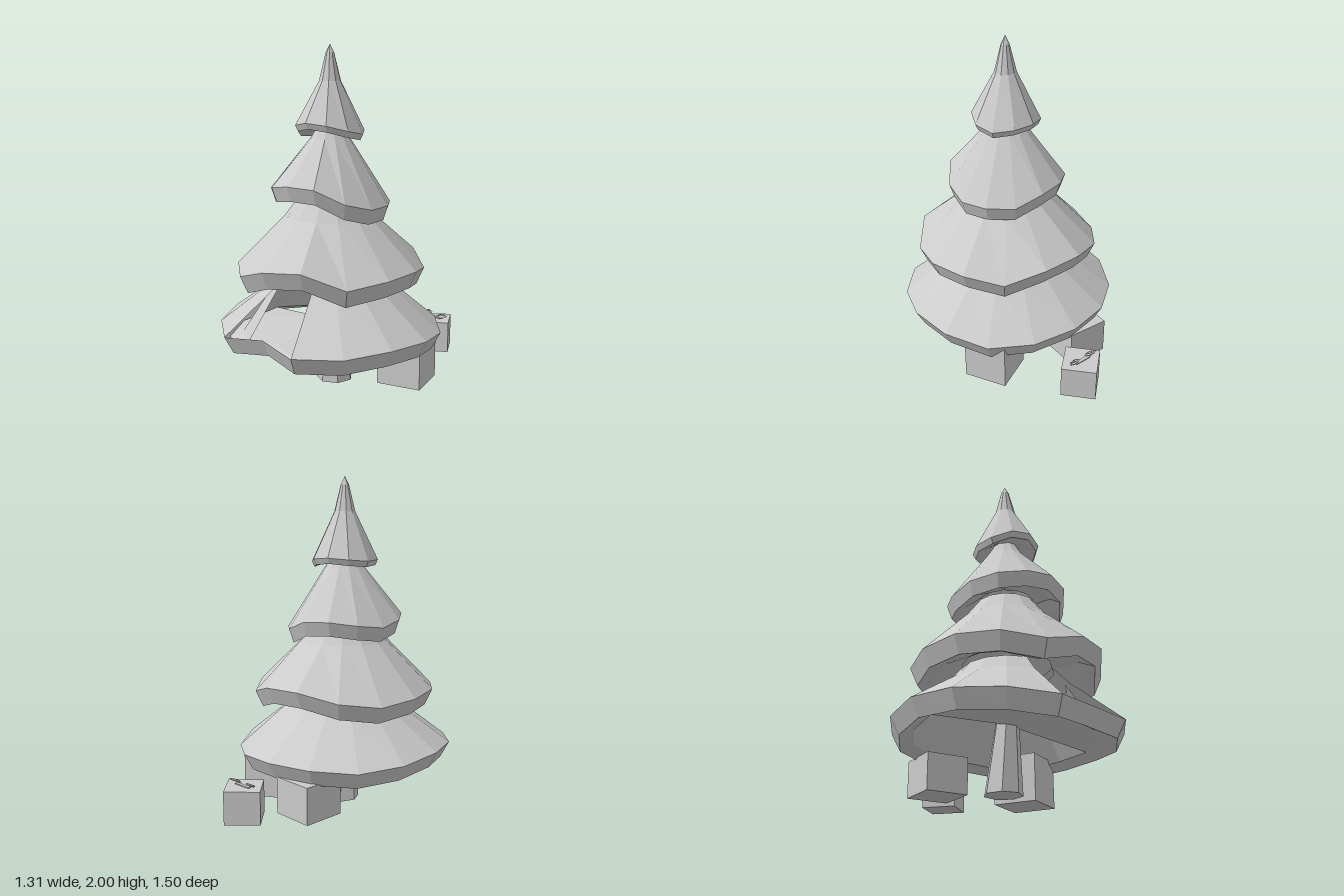
import * as THREE from 'three';

const foliageMat = new THREE.MeshStandardMaterial({ color: 0xcccccc, flatShading: true, side: THREE.DoubleSide });
const AXIS_Z = 0.14; // the tree stands slightly forward of the centre

function mesh(geometry, name, parent) {
  const m = new THREE.Mesh(geometry, foliageMat);
  m.name = name;
  parent.add(m);
  return m;
}

function fromTriangles(points) {
  const g = new THREE.BufferGeometry().setFromPoints(points);
  g.computeVertexNormals();
  return g;
}

// Angle 0 points to the front and grows towards +x
const polar = (r, y, a) => new THREE.Vector3(r * Math.sin(a), y, r * Math.cos(a));

// One branch tier: slope rings, wavy rim, drooping band, turned-in lip, inner cone.
// slope: [radius, y] pairs from the top; rim: a height per side; gap: sides with no slope
function tier({ slope, radius, rim, band, lip = 0.76, inner, radii = {}, gap = [], turn = 0 }) {
  const n = rim.length;
  const angle = (i) => (i / n) * Math.PI * 2 + turn;
  const rims = rim.map((y, i) => ({ r: radii[i] ?? radius, y }));
  const rings = [
    ...slope.map(([r, y]) => rims.map((_, i) => polar(r, y, angle(i)))),
    rims.map((p, i) => polar(p.r, p.y, angle(i))),
    rims.map((p, i) => polar(p.r * 0.92, p.y - band, angle(i))),
    rims.map((p, i) => polar(p.r * lip, p.y - band * 0.65, angle(i))),
    rims.map((_, i) => polar(inner[0], inner[1], angle(i))),
  ];
  const tris = [];
  for (let k = 0; k < rings.length - 1; k++) {
    for (let i = 0; i < n; i++) {
      const open = gap.includes(i) && (k < slope.length || k === rings.length - 2);
      if (open) continue;
      const j = (i + 1) % n;
      const [a, b, c, d] = [rings[k][i], rings[k + 1][i], rings[k + 1][j], rings[k][j]];
      tris.push(a, b, c, a, c, d);
    }
  }
  return { geometry: fromTriangles(tris), lipRing: rings[rings.length - 2] };
}

function present(name, size, height, x, y, z, degrees, parent) {
  const g = new THREE.Group();
  g.name = name;
  g.position.set(x, y, z);
  g.rotation.y = THREE.MathUtils.degToRad(degrees);
  mesh(new THREE.BoxGeometry(size, height, size).translate(0, height / 2, 0), name + 'Box', g);
  parent.add(g);
  return g;
}

export function createModel() {
  const model = new THREE.Group();
  model.name = 'treeWithPresents';
  const tree = new THREE.Group();
  tree.name = 'tree';
  tree.position.z = AXIS_Z;
  model.add(tree);

  // Trunk, tapering upwards and leaning a little forward
  const trunk = new THREE.CylinderGeometry(0.065, 0.11, 0.43, 7).translate(0, 0.215, 0);
  const p = trunk.attributes.position;
  for (let i = 0; i < p.count; i++) p.setZ(i, p.getZ(i) - 0.035 * (1 - p.getY(i) / 0.43));
  mesh(trunk, 'trunk', tree);

  // Branch tiers, top to bottom
  const top = tier({
    slope: [[0, 2], [0.025, 1.95], [0.065, 1.79]],
    radius: 0.205, band: 0.035, inner: [0.07, 1.54],
    rim: [1.555, 1.54, 1.51, 1.49, 1.51, 1.52, 1.51, 1.5, 1.505, 1.54],
  });
  mesh(top.geometry, 'topTier', tree);

  const upper = tier({
    slope: [[0.06, 1.56], [0.12, 1.46]],
    radius: 0.355, band: 0.085, inner: [0.16, 1.16],
    rim: [1.21, 1.2, 1.12, 1.08, 1.085, 1.09, 1.15, 1.16, 1.14, 1.12, 1.15, 1.17, 1.19],
  });
  mesh(upper.geometry, 'upperTier', tree);

  const middle = tier({
    slope: [[0.18, 1.13], [0.27, 1.01]],
    radius: 0.555, band: 0.1, inner: [0.26, 0.74],
    rim: [0.76, 0.78, 0.69, 0.72, 0.73, 0.7, 0.77, 0.78, 0.73, 0.7, 0.72, 0.73, 0.72, 0.69],
  });
  mesh(middle.geometry, 'middleTier', tree);

  // Widest tier, open at the front above its rim
  const bottom = tier({
    slope: [[0.27, 0.7], [0.36, 0.6]],
    radius: 0.66, band: 0.1, lip: 0.8, inner: [0.34, 0.59],
    radii: { 0: 0.555 }, gap: [14, 0],
    rim: [0.38, 0.35, 0.35, 0.37, 0.36, 0.33, 0.35, 0.37, 0.37, 0.36, 0.38, 0.4, 0.39, 0.37, 0.35],
  });
  mesh(bottom.geometry, 'bottomTier', tree);

  // Low web running from the front of the rim in to the trunk
  const web = [];
  const hub = new THREE.Vector3(-0.03, 0.38, 0.02);
  for (let i = -4; i < 3; i++) {
    const at = (k) => bottom.lipRing[(k + 15) % 15];
    web.push(hub, at(i), at(i + 1));
  }
  mesh(fromTriangles(web), 'frontWeb', tree);

  // Presents
  present('largePresent', 0.265, 0.28, 0.4, 0.03, -0.09, 15, model);
  present('mediumPresent', 0.26, 0.22, -0.05, 0.06, -0.37, -16, model);
  const small = present('smallPresent', 0.206, 0.195, 0.23, 0.06, -0.615, 29, model);

  // Bow: a flat ribbon with two raised loops
  const bow = new THREE.Group();
  bow.name = 'bow';
  bow.position.set(0.005, 0.2, -0.01);
  bow.rotation.y = THREE.MathUtils.degToRad(-40);
  small.add(bow);
  mesh(new THREE.BoxGeometry(0.11, 0.006, 0.02), 'ribbon', bow);
  for (const s of [-1, 1]) {
    const loop = mesh(new THREE.TorusGeometry(0.026, 0.007, 3, 6), 'bowLoop', bow);
    loop.scale.set(1.3, 0.75, 1);
    loop.rotation.set(-1.1, 0, s * 0.25);
    loop.position.set(s * 0.062, 0.016, 0);
  }
  return model;
}
